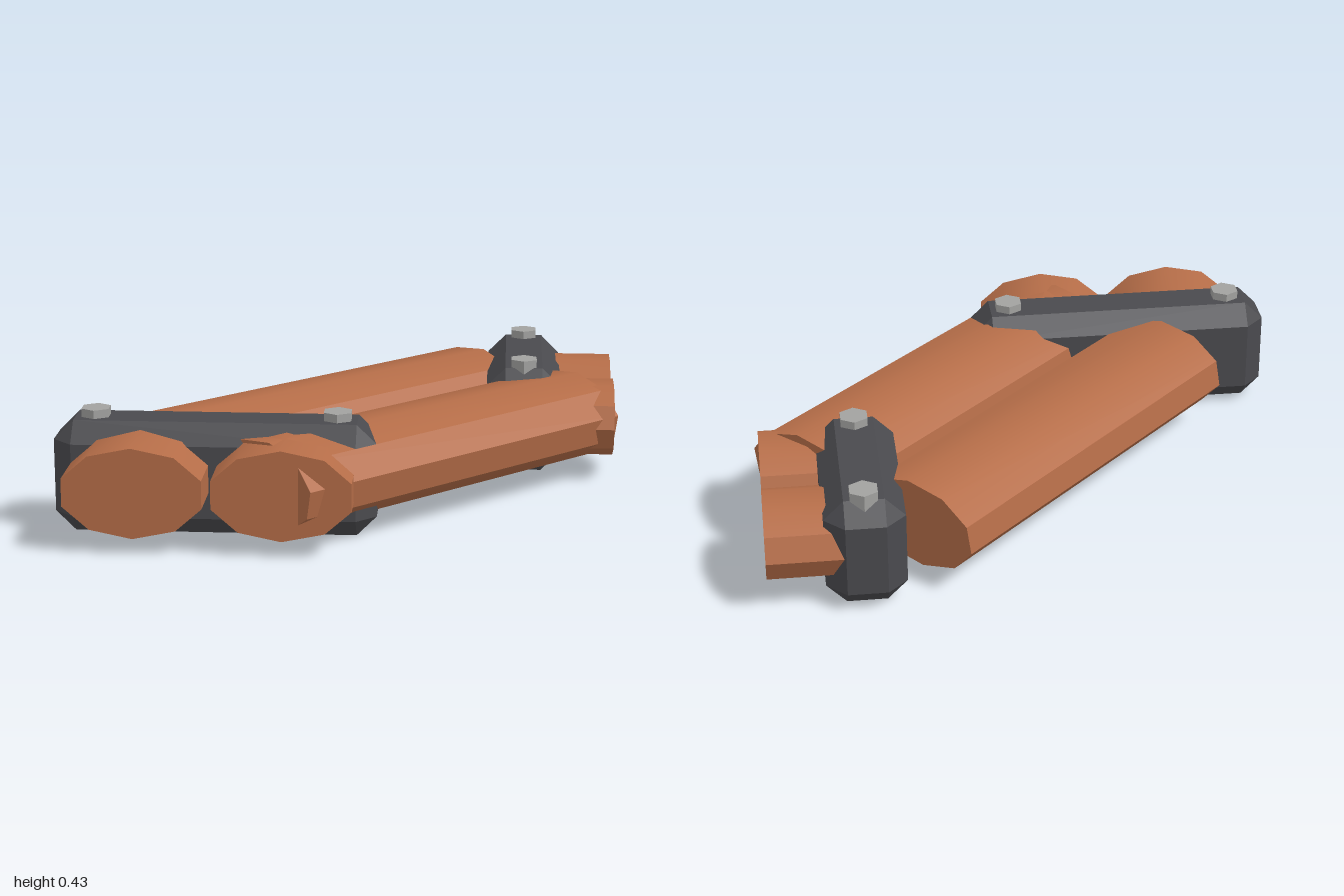
import * as THREE from 'three';
import { toCreasedNormals } from 'three/addons/utils/BufferGeometryUtils.js';
import { ConvexGeometry } from 'three/addons/geometries/ConvexGeometry.js';

const copper = new THREE.MeshStandardMaterial({ name: 'copper', color: 0xb56d48 });
const darkIron = new THREE.MeshStandardMaterial({ name: 'darkIron', color: 0x4a4a4e });
const steel = new THREE.MeshStandardMaterial({ name: 'steel', color: 0xa2a2a0 });

// Ten-sided oval bar; twist turns the facets, heading turns the bar about y
function bar(name, rx, ry, length, twist, heading, x, y, z) {
  const g = new THREE.CylinderGeometry(1, 1, length, 10, 1);
  g.rotateX(Math.PI / 2);
  g.rotateZ(THREE.MathUtils.degToRad(twist));
  g.scale(rx, ry, 1);
  g.rotateY(THREE.MathUtils.degToRad(heading));
  const mesh = new THREE.Mesh(toCreasedNormals(g, Math.PI / 6), copper);
  mesh.name = name;
  mesh.position.set(x, y, z);
  return mesh;
}

// Box with every edge and corner cut back by c
function chamferedBox(w, h, d, c) {
  const points = [];
  const half = [w / 2, h / 2, d / 2];
  for (const sx of [-1, 1]) for (const sy of [-1, 1]) for (const sz of [-1, 1]) {
    for (let axis = 0; axis < 3; axis++) {
      const p = half.map((v, i) => (i === axis ? v : v - c));
      points.push(new THREE.Vector3(sx * p[0], sy * p[1], sz * p[2]));
    }
  }
  return new ConvexGeometry(points);
}

// Clamp block with a hexagonal bolt head near each end
function clamp(name, w, d, x, z, bolts) {
  const group = new THREE.Group();
  group.name = name;
  const block = new THREE.Mesh(chamferedBox(w, 0.4, d, 0.07), darkIron);
  block.name = name + 'Block';
  block.position.set(x, 0.2, z);
  group.add(block);
  for (const [bx, bz] of bolts) {
    const g = new THREE.CylinderGeometry(0.055, 0.055, 0.06, 6);
    const bolt = new THREE.Mesh(toCreasedNormals(g, 0.5), steel);
    bolt.name = 'boltHead';
    bolt.position.set(bx, 0.4, bz);
    group.add(bolt);
  }
  return group;
}

export function createModel() {
  const model = new THREE.Group();
  model.name = 'clampedBars';

  // Two long diagonal bars
  model.add(bar('rearLongBar', 0.252, 0.16, 1.515, 7, 135, -0.075, 0.215, -0.17));
  model.add(bar('frontLongBar', 0.252, 0.16, 1.515, 7, 135, 0.285, 0.215, 0.19));

  // Stub ends leaving the front clamp
  for (const x of [-0.69, -0.18]) {
    model.add(bar('frontStub', 0.252, 0.16, 0.4, 0, 0, x, 0.215, 0.655));
  }

  // Stub ends leaving the side clamp
  for (const z of [-0.7, -0.295]) {
    model.add(bar('sideStub', 0.2, 0.14, 0.38, 18, 90, 0.79, 0.21, z));
  }

  model.add(clamp('frontClamp', 1.13, 0.28, -0.435, 0.52, [[-0.86, 0.52], [-0.01, 0.52]]));
  model.add(clamp('sideClamp', 0.28, 0.705, 0.64, -0.553, [[0.64, -0.81], [0.64, -0.305]]));
  return model;
}
